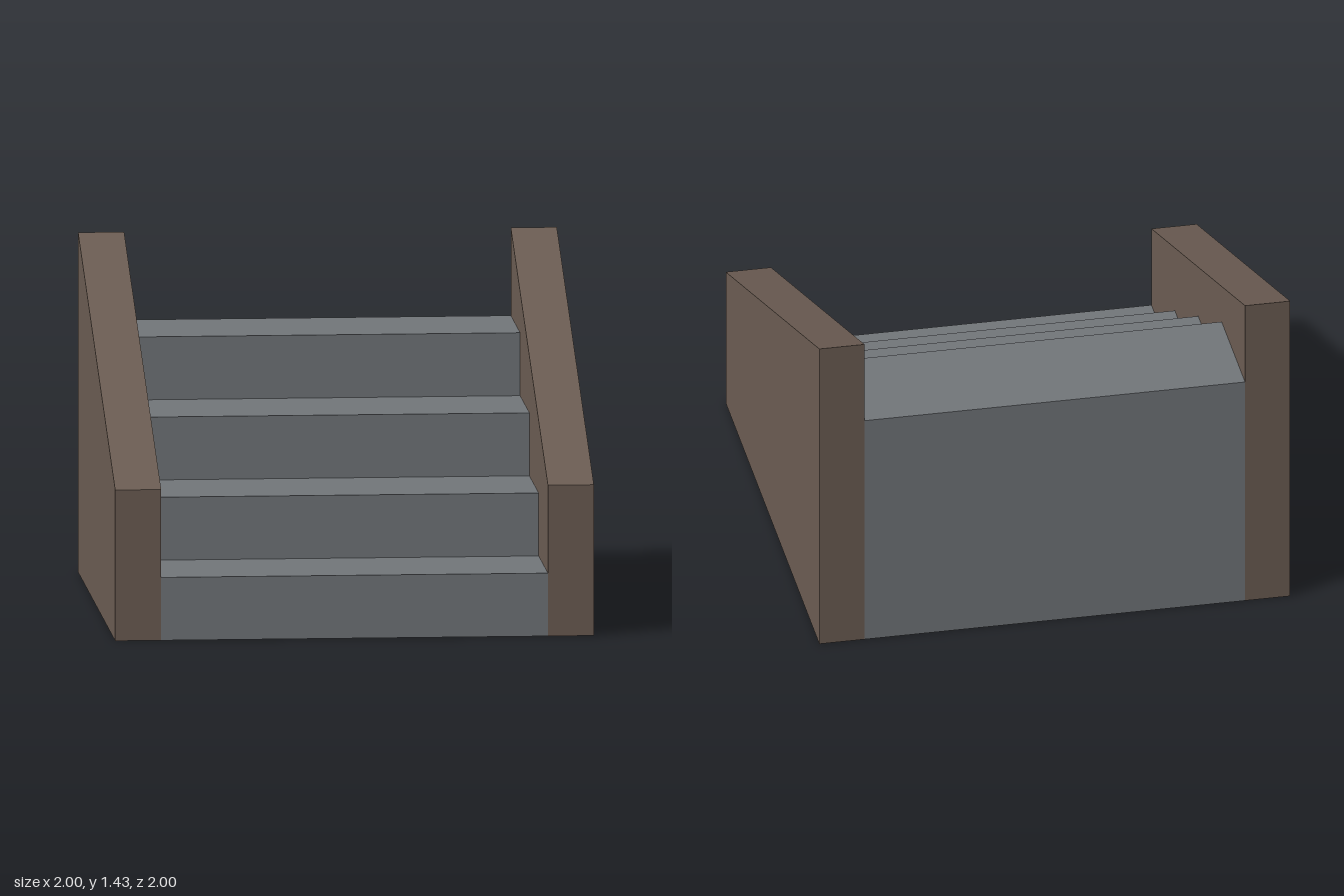
import * as THREE from 'three';

// Extrude a side profile of [depth towards the back, height] points across x
function extrudeProfile(points, xStart, width) {
  const shape = new THREE.Shape(points.map(([u, y]) => new THREE.Vector2(u, y)));
  return new THREE.ExtrudeGeometry(shape, { depth: width, bevelEnabled: false })
    .rotateY(Math.PI / 2)
    .translate(xStart, 0, 0);
}

export function createModel() {
  const stone = new THREE.MeshStandardMaterial({ name: 'grey stone', color: 0x72767a });
  const brown = new THREE.MeshStandardMaterial({ name: 'brown wall', color: 0x6c5d53 });
  const model = new THREE.Group();
  model.name = 'staircase';

  const add = (name, geometry, material) => {
    const mesh = new THREE.Mesh(geometry, material);
    mesh.name = name;
    model.add(mesh);
  };

  // Solid flight of four steps rising towards the back
  const inner = 0.808, rise = 0.265, run = 0.5, count = 4;
  const profile = [[-1, 0]];
  for (let i = 0; i < count; i++) {
    profile.push([-1 + i * run, (i + 1) * rise], [-1 + (i + 1) * run, (i + 1) * rise]);
  }
  profile.push([1, 0]);
  add('steps', extrudeProfile(profile, -inner, inner * 2), stone);

  // Sloping side walls
  const wall = [[-1, 0], [-1, 0.635], [1, 1.43], [1, 0]];
  add('leftWall', extrudeProfile(wall, inner, 1 - inner), brown);
  add('rightWall', extrudeProfile(wall, -1, 1 - inner), brown);

  return model;
}
